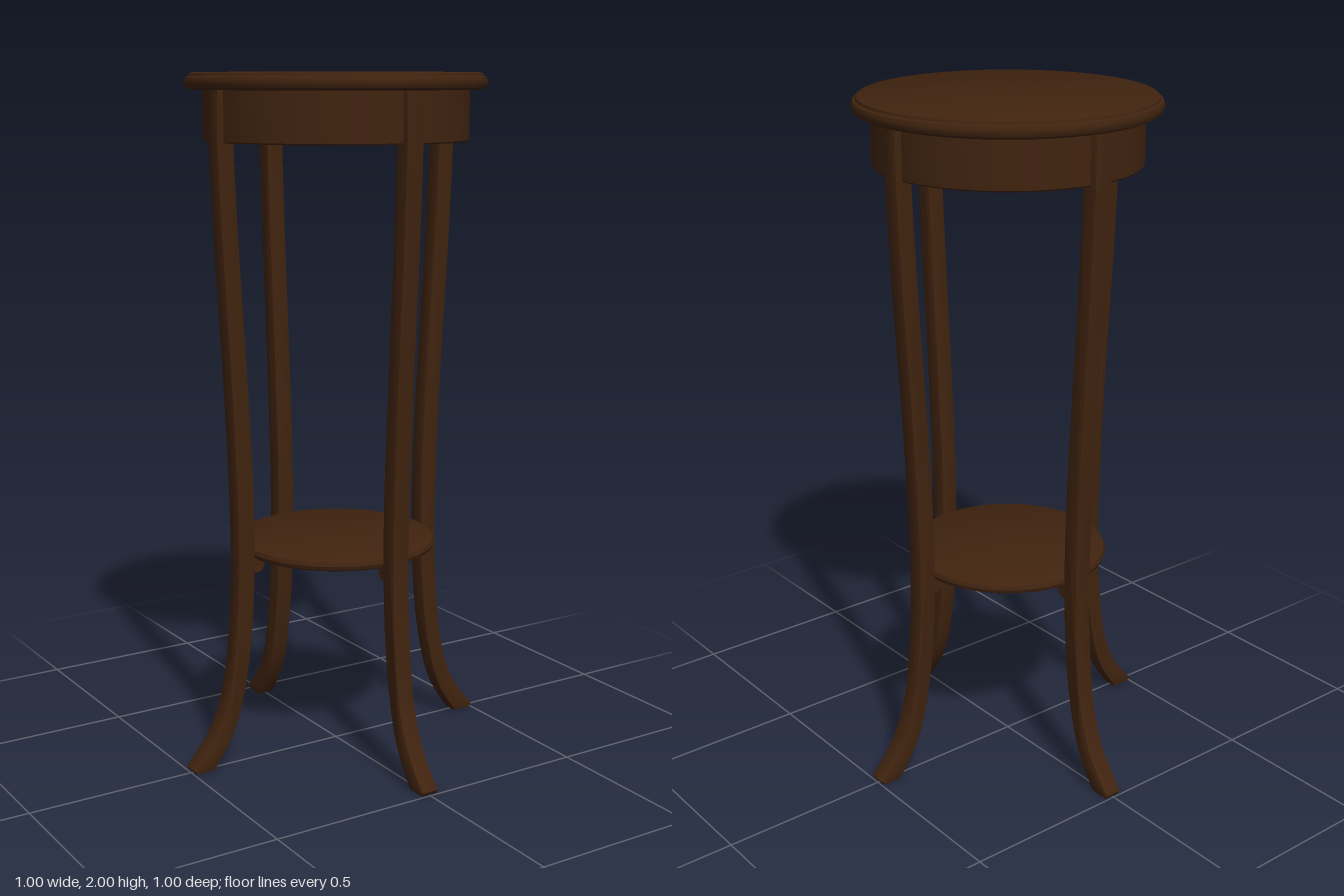
import * as THREE from 'three';
import { toCreasedNormals } from 'three/addons/utils/BufferGeometryUtils.js';

export function createModel() {
  const group = new THREE.Group();
  const wood = new THREE.MeshStandardMaterial({ color: 0x40230f });
  wood.name = 'dark brown wood';

  const add = (geometry, name, parent = group) => {
    const mesh = new THREE.Mesh(geometry, wood);
    mesh.name = name;
    parent.add(mesh);
    return mesh;
  };
  const turned = (points) => toCreasedNormals(
    new THREE.LatheGeometry(points.map(([r, y]) => new THREE.Vector2(r, y)), 48), 0.6);

  // Round top with a softened, stepped edge
  add(turned([[0, 1.952], [0.412, 1.952], [0.424, 1.958], [0.429, 1.968], [0.429, 1.978],
    [0.425, 1.987], [0.417, 1.99], [0.415, 1.997], [0.41, 2], [0, 2]]), 'tableTop');

  // Drum-shaped apron under the top
  add(turned([[0, 1.815], [0.368, 1.815], [0.37, 1.81], [0.376, 1.81], [0.379, 1.814],
    [0.379, 1.953]]), 'apron');

  // Lower round shelf with a rounded edge
  add(turned([[0, 0.617], [0.282, 0.617], [0.291, 0.622], [0.295, 0.633],
    [0.291, 0.645], [0.282, 0.65], [0, 0.65]]), 'shelf');

  // Leg outline: tapering inward to the shelf, then sweeping out to the foot
  const curve = (points) => new THREE.SplineCurve(points.map(([x, y]) => new THREE.Vector2(x, y))).getPoints(36);
  const outer = curve([[0.397, 1.954], [0.397, 1.8], [0.384, 1.5], [0.363, 1.15], [0.35, 0.85],
    [0.346, 0.62], [0.355, 0.42], [0.378, 0.24], [0.425, 0.11], [0.5, 0.012]]);
  const inner = curve([[0.435, 0], [0.375, 0.09], [0.336, 0.2], [0.306, 0.38], [0.293, 0.6],
    [0.295, 0.85], [0.31, 1.15], [0.331, 1.5], [0.345, 1.8], [0.345, 1.954]]);
  const bevel = 0.005;
  const outline = new THREE.Shape([...outer, new THREE.Vector2(0.492, 0), ...inner]);
  const legGeometry = toCreasedNormals(new THREE.ExtrudeGeometry(outline, {
    depth: 0.054 - 2 * bevel, bevelEnabled: true, bevelThickness: bevel, bevelSize: bevel,
    bevelOffset: -bevel, bevelSegments: 2,
  }).translate(0, 0, bevel - 0.027), 0.6);

  // Small rounded block carrying the shelf at each leg
  const blockGeometry = toCreasedNormals(
    new THREE.CylinderGeometry(0.024, 0.024, 0.04, 16).rotateX(Math.PI / 2).translate(0.283, 0.602, 0), 0.6);

  ['left', 'back', 'right', 'front'].forEach((side, i) => {
    const unit = new THREE.Group();
    unit.name = side + 'LegUnit';
    unit.rotation.y = i * Math.PI / 2;
    add(legGeometry, side + 'Leg', unit);
    add(blockGeometry, side + 'ShelfBlock', unit);
    group.add(unit);
  });

  return group;
}
